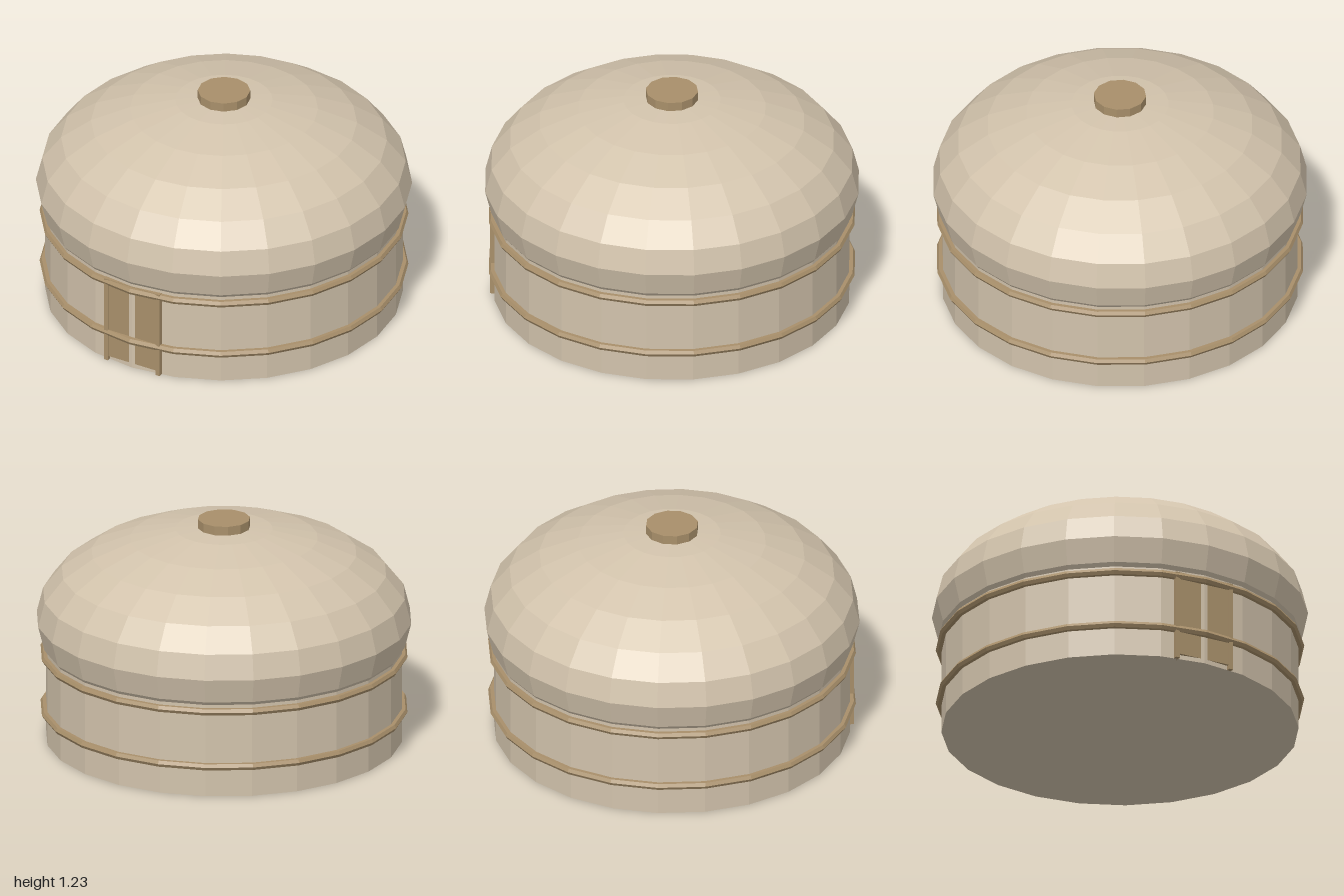
import * as THREE from 'three';

const SIDES = 24;
const shell = new THREE.MeshStandardMaterial({ color: 0xd2c3ac, flatShading: true });
const trim = new THREE.MeshStandardMaterial({ color: 0xa88f6a, flatShading: true });

export function createModel() {
  const model = new THREE.Group();
  const add = (name, geometry, material, x = 0, y = 0, z = 0) => {
    const mesh = new THREE.Mesh(geometry, material);
    mesh.name = name;
    mesh.position.set(x, y, z);
    model.add(mesh);
    return mesh;
  };

  // Round wall, closed top and bottom
  add('wall', new THREE.CylinderGeometry(0.95, 0.95, 0.52, SIDES), shell, 0, 0.26, 0);

  // Flattened dome overhanging the wall, its lower rim tucked inside
  const dome = new THREE.SphereGeometry(1, SIDES, 8, 0, Math.PI * 2, 0, Math.PI * 2 / 3);
  dome.scale(1, 0.52, 1);
  add('domeRoof', dome, shell, 0, 0.67, 0);

  // Cap at the crown
  add('roofCap', new THREE.CylinderGeometry(0.14, 0.14, 0.07, 12), trim, 0, 1.195, 0);

  // Bands around the wall
  for (const [name, y] of [['lowerBand', 0.17], ['upperBand', 0.48]]) {
    const band = new THREE.TorusGeometry(0.96, 0.02, 6, SIDES);
    band.rotateX(Math.PI / 2);
    add(name, band, trim, 0, y, 0);
  }

  // Doorway: flat panel, jambs and lintel; the wall's ridge shows through the middle
  add('doorPanel', new THREE.BoxGeometry(0.3, 0.44, 0.04), trim, 0, 0.245, 0.9275);
  for (const side of [-1, 1]) {
    add(side > 0 ? 'leftJamb' : 'rightJamb', new THREE.BoxGeometry(0.025, 0.5, 0.05), trim, side * 0.16, 0.25, 0.927);
  }
  add('lintel', new THREE.BoxGeometry(0.345, 0.035, 0.05), trim, 0, 0.4825, 0.927);

  return model;
}
